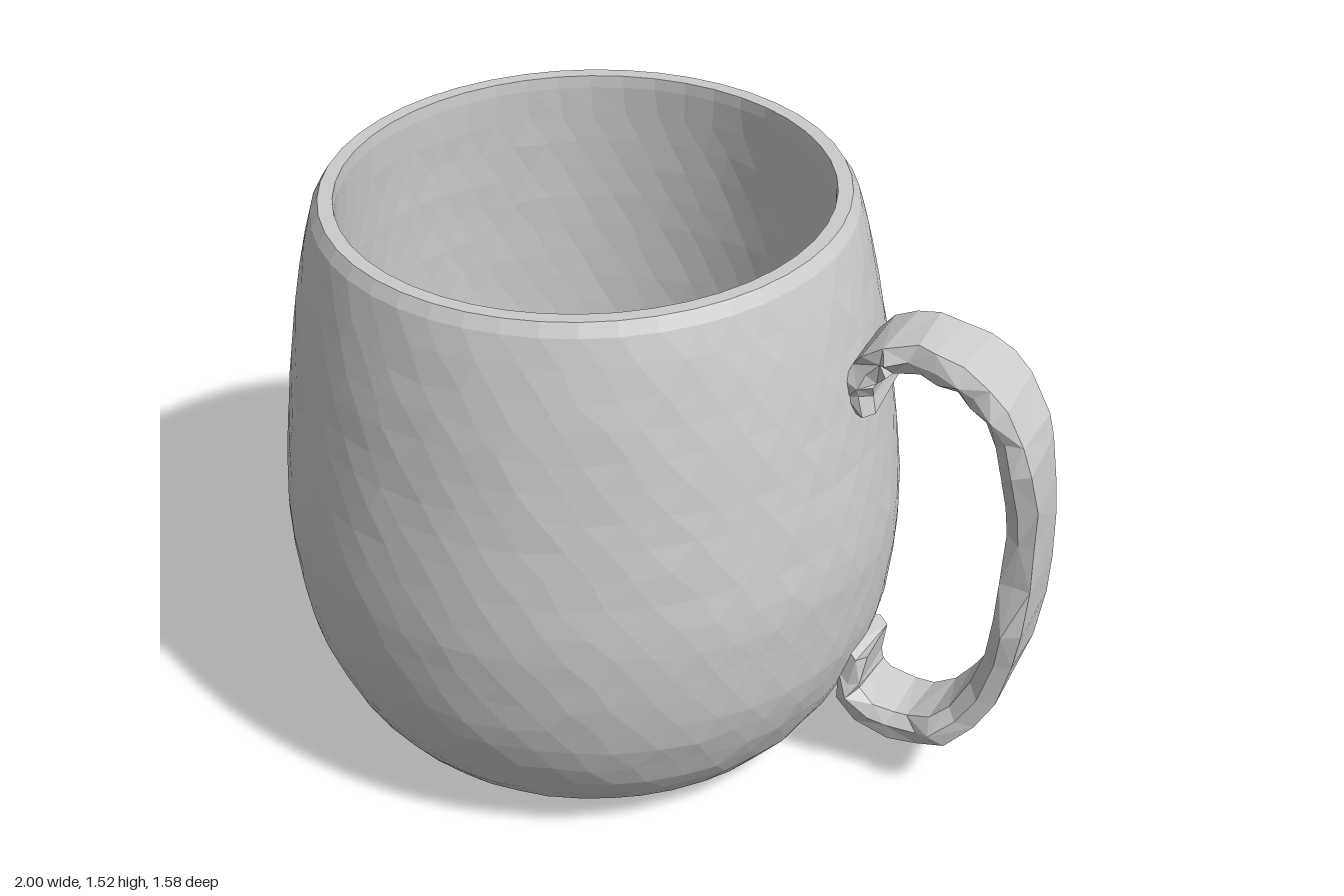
import * as THREE from 'three';

const material = new THREE.MeshStandardMaterial({ color: 0xcccccc, flatShading: true, side: THREE.DoubleSide });

// Repeatable noise in -1..1 for the hand-made facets
function noise(a, b) {
  const s = Math.sin(a * 127.1 + b * 311.7) * 43758.5453;
  return 2 * (s - Math.floor(s)) - 1;
}

const toVectors = list => list.map(([x, y]) => new THREE.Vector2(x, y));

// Cup: one lathed skin running under the base, up the outside, over the rim and down the inside
function createCup() {
  const outer = new THREE.SplineCurve(toVectors([
    [0.46, 0], [0.54, 0.03], [0.615, 0.095], [0.692, 0.21], [0.757, 0.38], [0.787, 0.62],
    [0.78, 0.8], [0.758, 1.0], [0.731, 1.2], [0.698, 1.37], [0.672, 1.47],
  ])).getSpacedPoints(21);
  // Straight inner wall ending in a deep round bowl
  const inner = new THREE.SplineCurve(toVectors([
    [0.613, 1.47], [0.62, 1.3], [0.626, 1.1], [0.628, 0.9], [0.622, 0.72], [0.603, 0.55],
    [0.562, 0.4], [0.5, 0.285], [0.41, 0.19], [0.28, 0.12], [0.14, 0.085],
  ])).getSpacedPoints(20);
  const rim = toVectors([[0.652, 1.502], [0.615, 1.502]]);
  const profile = [new THREE.Vector2(0, 0), ...outer, ...rim, ...inner, new THREE.Vector2(0, 0.08)];

  const segments = 46;
  const geometry = new THREE.LatheGeometry(profile, segments);
  const position = geometry.attributes.position;
  const rows = profile.length;
  const rimRow = 1 + outer.length;
  const isEven = j => j < 2 || Math.abs(j - rimRow - 0.5) < 2;
  const stagger = j => (isEven(j) ? 0 : (j % 2) * 0.5);
  const indices = [];
  for (let i = 0; i <= segments; i++) {
    for (let j = 0; j < rows; j++) {
      const id = i * rows + j;
      const column = i % segments;
      // Alternate rows are staggered by half a facet, with a little unevenness
      const loose = isEven(j) || j === rows - 1 ? 0 : 1;
      const angle = (i + stagger(j) + loose * 0.12 * noise(column, j)) / segments * Math.PI * 2;
      const radius = profile[j].x + loose * 0.0012 * noise(j, column + 9);
      const lift = loose * 0.008 * noise(column + 3, j + 5) * Math.min(1, profile[j].y * 4);
      position.setXYZ(id, Math.sin(angle) * radius, profile[j].y + lift, Math.cos(angle) * radius);
      if (i === segments || j === rows - 1) continue;
      // Split each quad along its shorter diagonal
      const [a, b, c, d] = [id, id + rows, id + rows + 1, id + 1];
      if (stagger(j + 1) >= stagger(j)) indices.push(a, b, d, b, c, d);
      else indices.push(a, b, c, a, c, d);
    }
  }
  geometry.setIndex(indices);
  geometry.computeVertexNormals();
  const cup = new THREE.Mesh(geometry, material);
  cup.name = 'cup';
  cup.position.set(-0.205, 0.008, 0);
  cup.rotation.z = 0.0145; // slight lean
  return cup;
}

// Handle: a flat uneven strap swept along a curve whose ends curl against the cup
function createHandle() {
  const path = new THREE.CatmullRomCurve3([
    [0.545, 1.1], [0.53, 1.18], [0.57, 1.25], [0.66, 1.28], [0.78, 1.258], [0.885, 1.18],
    [0.94, 1.04], [0.955, 0.84], [0.938, 0.58], [0.88, 0.34], [0.775, 0.21], [0.64, 0.178],
    [0.535, 0.245], [0.548, 0.37],
  ].map(([x, y]) => new THREE.Vector3(x, y, 0)));
  // Front and back edges along the strap
  const front = [0.1, 0.11, 0.12, 0.11, 0.11, 0.13, 0.135, 0.1, 0.115, 0.1, 0.11, 0.09, 0.115, 0.1];
  const back = [0.1, 0.11, 0.1, 0.09, 0.105, 0.1, 0.075, 0.09, 0.12, 0.1, 0.1, 0.1, 0.1, 0.1];
  const sample = (list, t) => {
    const f = t * (list.length - 1);
    const i = Math.min(Math.floor(f), list.length - 2);
    return THREE.MathUtils.lerp(list[i], list[i + 1], f - i);
  };
  // Cross-section: across the thickness, and along the width from -1 to 1
  const section = [[1, -0.85], [1, 0.8], [0.1, 1], [-1, 0.85], [-1, -0.8], [-0.1, -1]];
  const sides = section.length;
  const rings = 26;
  const vertices = [];
  const indices = [];

  for (let i = 0; i <= rings; i++) {
    const t = i / rings;
    const centre = path.getPoint(t);
    const tangent = path.getTangent(t);
    const half = 0.04 - 0.014 * Math.pow(Math.abs(2 * t - 1), 6);
    section.forEach(([n, w], k) => {
      const width = sample(w > 0 ? front : back, t);
      const across = half * n * (1 + 0.07 * noise(i, k));
      const slip = 0.016 * noise(k + 4, i);
      vertices.push(
        centre.x + tangent.y * across + tangent.x * slip,
        centre.y - tangent.x * across + tangent.y * slip,
        w * width * (1 + 0.14 * noise(i + 11, k)),
      );
      if (i < rings) {
        const a = i * sides + k;
        const b = i * sides + (k + 1) % sides;
        const c = a + sides;
        const d = b + sides;
        // Diagonals alternate so the edges zigzag
        if ((i + k) % 2) indices.push(a, c, b, b, c, d);
        else indices.push(a, c, d, a, d, b);
      }
    });
  }
  // End caps
  const last = rings * sides;
  for (let k = 1; k < sides - 1; k++) {
    indices.push(0, k, k + 1, last, last + k + 1, last + k);
  }
  const geometry = new THREE.BufferGeometry();
  geometry.setAttribute('position', new THREE.Float32BufferAttribute(vertices, 3));
  geometry.setIndex(indices);
  geometry.computeVertexNormals();
  const handle = new THREE.Mesh(geometry, material);
  handle.name = 'handle';
  return handle;
}

export function createModel() {
  const mug = new THREE.Group();
  mug.name = 'mug';
  mug.add(createCup(), createHandle());
  return mug;
}
